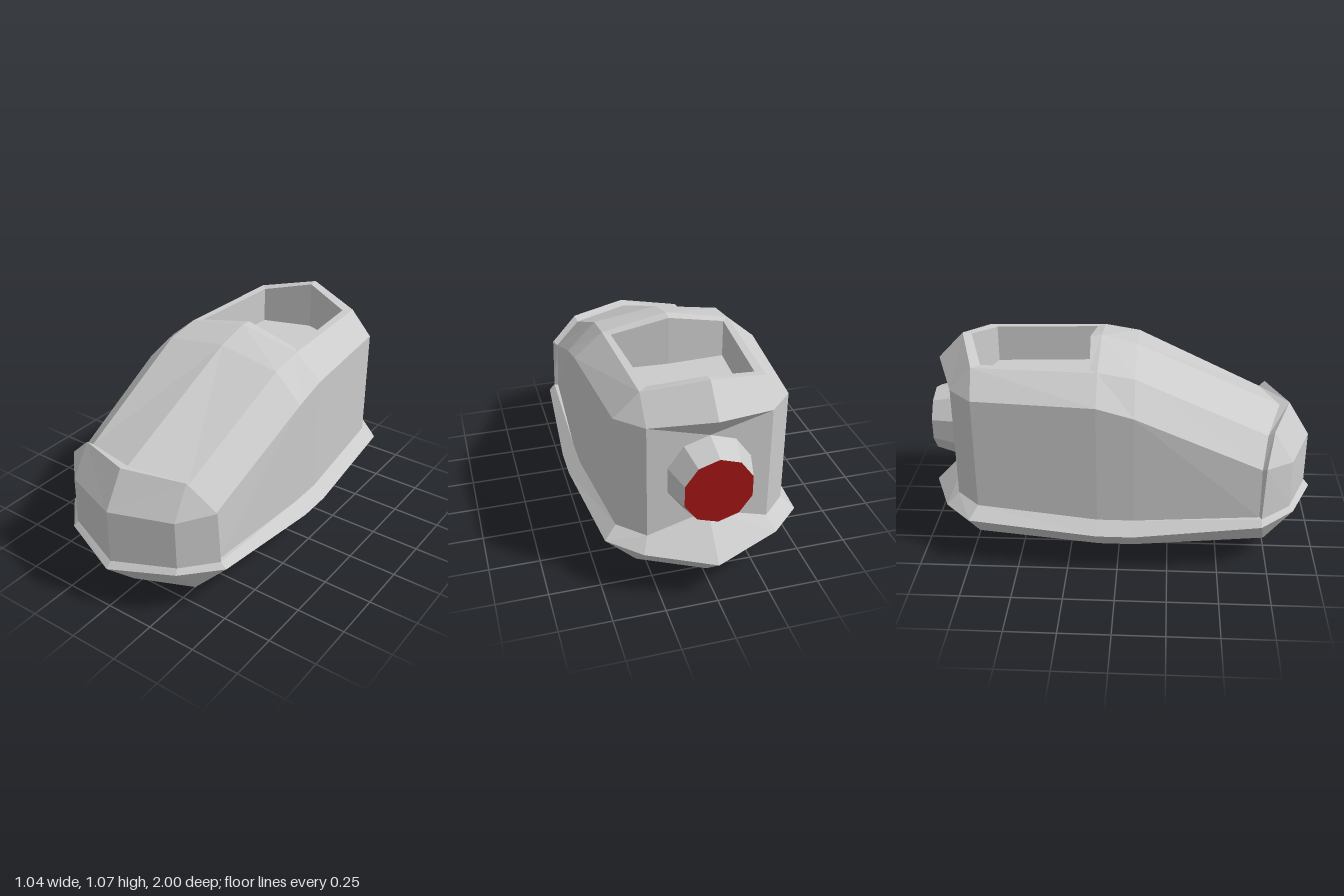
import * as THREE from 'three';

const grey = new THREE.MeshStandardMaterial({ color: 0xcccccc, flatShading: true });
const red = new THREE.MeshStandardMaterial({ color: 0xa01414, flatShading: true });

// Mirrored, faceted shell: each strip joins a lower and an upper line of points,
// both running front to back along the +x half.
function shell(name, strips) {
  const positions = [];
  const a = new THREE.Vector3(), b = new THREE.Vector3(), c = new THREE.Vector3();
  const tri = (p, q, r) => {
    a.set(...p); b.set(...q); c.set(...r);
    if (b.sub(a).cross(c.sub(a)).length() < 1e-7) return;
    positions.push(...p, ...q, ...r);
    for (const [x, y, z] of [p, r, q]) positions.push(-x, y, z);
  };
  for (const [lo, hi] of strips) {
    for (let i = 0; i < lo.length - 1; i++) {
      tri(lo[i], lo[i + 1], hi[i + 1]);
      tri(lo[i], hi[i + 1], hi[i]);
    }
  }
  const geometry = new THREE.BufferGeometry();
  geometry.setAttribute('position', new THREE.Float32BufferAttribute(positions, 3));
  geometry.computeVertexNormals();
  const mesh = new THREE.Mesh(geometry, grey);
  mesh.name = name;
  return mesh;
}

export function createModel() {
  const group = new THREE.Group();
  group.name = 'hoverPod';

  // Lower hull: keel, chine, flared rim and deck edge
  const bow = [0, 0.045, 0.82], stern = [0, 0.045, -0.82];
  const chineF = [0.32, 0.095, 0.74], chineB = [0.32, 0.095, -0.72];
  const keel = [bow, bow, bow, [0, 0, 0.08], [0, 0, -0.1], stern, stern, stern];
  const chine = [bow, chineF, chineF, [0.36, 0.06, 0.08], [0.36, 0.06, -0.1], chineB, chineB, stern];
  const rim = [
    [0, 0.225, 1], [0.32, 0.26, 0.88], [0.48, 0.26, 0.71], [0.52, 0.21, 0.08],
    [0.52, 0.21, -0.1], [0.47, 0.25, -0.74], [0.32, 0.245, -0.88], [0, 0.21, -1],
  ];
  const foot = [
    [0.43, 0.29, 0.7], [0.46, 0.27, 0.08], [0.46, 0.27, -0.1],
    [0.41, 0.305, -0.7], [0.29, 0.305, -0.82], [0, 0.39, -0.82],
  ];
  const noseBase = [[0, 0.255, 0.97], [0.31, 0.285, 0.86], [0.45, 0.29, 0.71]];
  const deck = [...noseBase, ...foot.slice(1)];
  group.add(shell('lowerHull', [
    [keel, chine], [chine, rim], [rim, deck],
    [[noseBase[2], foot[1]], [foot[0], foot[1]]],
  ]));

  // Upper body: side walls, sloped shoulders, ridged roof and rear lip
  const waist = [
    [0.42, 0.55, 0.7], [0.46, 0.83, 0.08], [0.46, 0.88, -0.1],
    [0.41, 0.88, -0.7], [0.29, 0.88, -0.82],
  ];
  const notch = [0, 0.8, -0.82], lip = [0, 0.93, -0.93];
  const shoulder = [[0.29, 0.67, 0.73], [0.32, 0.97, 0.08], [0.32, 1, -0.1], [0.29, 1, -0.71]];
  const ridge = [[0, 0.7, 0.81], [0, 1.02, 0.08], [0, 1.065, -0.1], [0, 1.065, -0.8]];
  const opening = [[0, 1.06, -0.155], [0.285, 1, -0.14], [0.25, 1, -0.67], [0, 1.06, -0.755]];
  group.add(shell('upperBody', [
    [foot, [...waist, notch]],
    [[waist[4], notch], [waist[4], lip]],
    [[...waist, lip], [...shoulder, shoulder[3], ridge[3]]],
    [shoulder.slice(0, 3), ridge.slice(0, 3)],
    [[ridge[2], shoulder[2], shoulder[3], ridge[3]], opening],
  ]));

  // Sunken cockpit with a flat floor
  const floor = opening.map(([x, , z]) => [x, 0.81, z]);
  group.add(shell('cockpit', [
    [opening, floor],
    [floor, [floor[0], floor[0], floor[3], floor[3]]],
  ]));

  // Nose cap, slightly proud of the body
  const brow = [[0, 0.535, 0.97], [0.305, 0.535, 0.86], [0.44, 0.565, 0.72], waist[0]];
  const crown = [[0, 0.715, 0.86], [0.3, 0.695, 0.76], brow[2], waist[0]];
  const seam = [ridge[0], shoulder[0], waist[0], waist[0]];
  group.add(shell('noseCap', [[[...noseBase, foot[0]], brow], [brow, crown], [crown, seam]]));

  // Tapered rear thruster with a coloured end
  const thruster = new THREE.Mesh(
    new THREE.CylinderGeometry(0.165, 0.205, 0.14, 10, 1, true).rotateX(-Math.PI / 2), grey);
  thruster.name = 'thruster';
  thruster.position.set(0, 0.595, -0.89);
  const glow = new THREE.Mesh(
    new THREE.CircleGeometry(0.165, 10, Math.PI / 2).rotateY(Math.PI), red);
  glow.name = 'thrusterEnd';
  glow.position.set(0, 0.595, -0.96);
  group.add(thruster, glow);

  return group;
}
